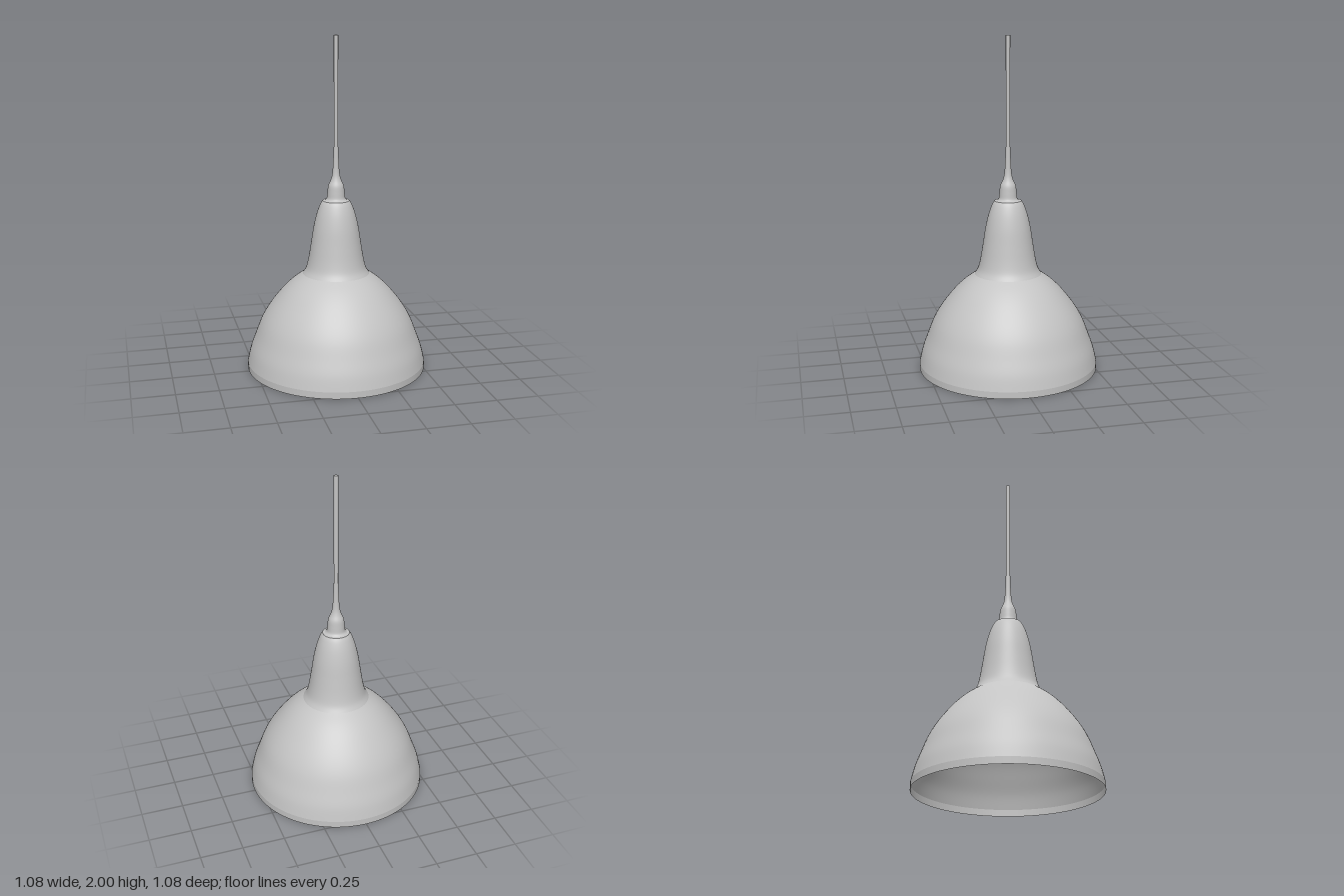
import * as THREE from 'three';

const SEGMENTS = 96;

export function createModel() {
  const group = new THREE.Group();
  group.name = 'pendantLamp';

  const grey = new THREE.MeshStandardMaterial({ color: 0xc4c4c4, side: THREE.DoubleSide });
  grey.name = 'light grey';

  // Smooth curve through [radius, height] points
  const smooth = (points, steps) =>
    new THREE.SplineCurve(points.map(([r, y]) => new THREE.Vector2(r, y))).getPoints(steps);

  // Turn a profile around the vertical axis
  const turn = (name, profile) => {
    const mesh = new THREE.Mesh(new THREE.LatheGeometry(profile, SEGMENTS), grey);
    mesh.name = name;
    group.add(mesh);
  };

  // Straight band around the open bottom
  turn('rim', [new THREE.Vector2(0.54, 0), new THREE.Vector2(0.54, 0.04)]);

  // Open dome
  turn('shade', smooth([
    [0.54, 0.04], [0.521, 0.12], [0.492, 0.2], [0.452, 0.3],
    [0.4, 0.387], [0.33, 0.475], [0.265, 0.538], [0.2, 0.585],
  ], 36));

  // Flared neck above the dome
  turn('neck', smooth([
    [0.2, 0.585], [0.18, 0.62], [0.165, 0.68], [0.15, 0.77],
    [0.134, 0.87], [0.115, 0.95], [0.095, 1.005], [0.08, 1.03],
  ], 32));

  // Flat collar closing the top of the neck
  turn('collar', [new THREE.Vector2(0.08, 1.03), new THREE.Vector2(0.05, 1.034)]);

  // Cable grip tapering into the cord
  turn('cableGrip', smooth([
    [0.066, 1.032], [0.055, 1.045], [0.051, 1.08], [0.046, 1.12],
    [0.032, 1.152], [0.023, 1.185], [0.018, 1.24], [0.014, 1.35],
  ], 32));

  // Hanging cord
  const cord = new THREE.Mesh(new THREE.CylinderGeometry(0.013, 0.013, 0.7, 24), grey);
  cord.name = 'cord';
  cord.position.y = 1.65;
  group.add(cord);

  return group;
}
